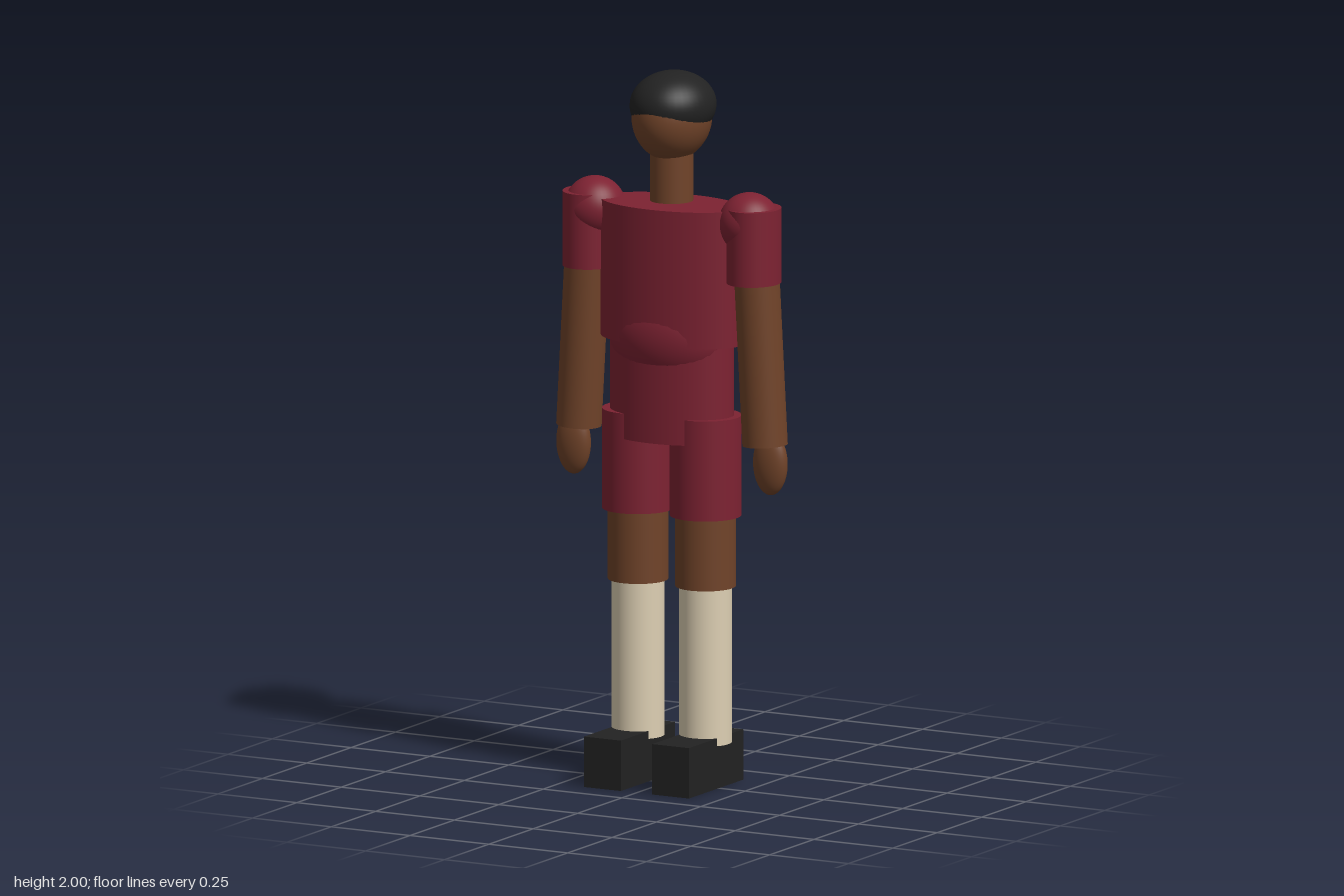
import * as THREE from 'three';

const flat = (name, color) => {
  const m = new THREE.MeshStandardMaterial({ color });
  m.name = name;
  return m;
};

export function createModel() {
  const model = new THREE.Group();
  model.name = 'figure';
  const red = flat('maroon cloth', 0x7d2232);
  const skin = flat('brown skin', 0x704329);
  const black = flat('black', 0x222222);
  const cream = flat('cream sock', 0xddcfb3);

  const add = (name, geometry, material, x, y, z) => {
    const mesh = new THREE.Mesh(geometry, material);
    mesh.name = name;
    mesh.position.set(x, y, z);
    model.add(mesh);
    return mesh;
  };
  // upright elliptical cylinder between two heights
  const column = (name, material, x, z, y0, y1, rx, rz) =>
    add(name, new THREE.CylinderGeometry(1, 1, y1 - y0, 40).scale(rx, 1, rz), material, x, (y0 + y1) / 2, z);
  const ellipsoid = (name, material, x, y, z, rx, ry, rz) =>
    add(name, new THREE.SphereGeometry(1, 40, 28).scale(rx, ry, rz), material, x, y, z);

  // head
  ellipsoid('head', skin, 0, 1.874, -0.032, 0.107, 0.125, 0.127);
  ellipsoid('hair', black, 0, 1.905, -0.038, 0.117, 0.095, 0.131);
  column('neck', skin, 0, -0.03, 1.637, 1.8, 0.06, 0.06);

  // trunk
  column('chest', red, 0, -0.031, 1.245, 1.63, 0.215, 0.122);
  ellipsoid('belly', red, 0, 1.26, -0.02, 0.18, 0.15, 0.118);
  column('waist', red, 0, -0.032, 0.97, 1.25, 0.186, 0.117);

  for (const [side, s] of [['left', 1], ['right', -1]]) {
    // arm
    ellipsoid(side + 'Shoulder', red, s * 0.245, 1.595, -0.033, 0.086, 0.086, 0.086);
    column(side + 'Sleeve', red, s * 0.26, -0.032, 1.43, 1.64, 0.074, 0.083);
    const arm = column(side + 'Arm', skin, s * 0.28, -0.032, 0.975, 1.53, 0.063, 0.063);
    arm.rotation.z = s * 0.055;
    ellipsoid(side + 'Hand', skin, s * 0.312, 0.925, -0.032, 0.052, 0.09, 0.032);

    // leg
    column(side + 'Shorts', red, s * 0.107, -0.031, 0.76, 1.042, 0.1, 0.1);
    column(side + 'Thigh', skin, s * 0.107, -0.031, 0.56, 0.8, 0.084, 0.084);
    column(side + 'Sock', cream, s * 0.107, -0.031, 0.12, 0.58, 0.073, 0.073);
    add(side + 'Shoe', new THREE.BoxGeometry(0.117, 0.142, 0.306), black, s * 0.108, 0.071, 0.015);
  }
  return model;
}
